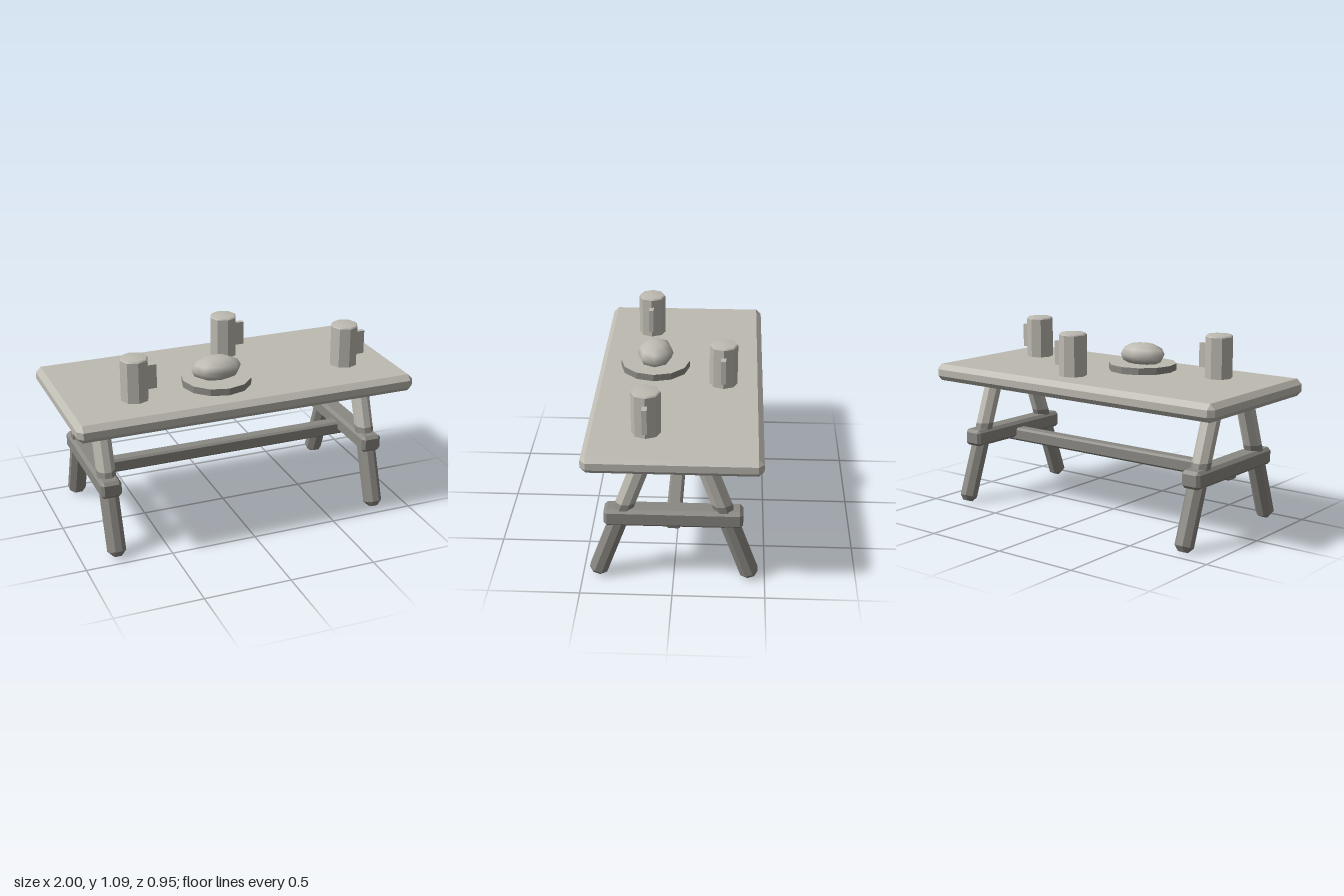
import * as THREE from 'three';
import { ConvexGeometry } from 'three/addons/geometries/ConvexGeometry.js';

const V = (x, y, z) => new THREE.Vector3(x, y, z);
const SIGNS = [-1, 1];

// Box with every edge chamfered by b
function chamferBox(w, h, d, b) {
  const pts = [];
  for (const i of SIGNS) for (const j of SIGNS) for (const k of SIGNS) {
    const x = w / 2, y = h / 2, z = d / 2;
    pts.push(V(i * x, j * (y - b), k * (z - b)));
    pts.push(V(i * (x - b), j * y, k * (z - b)));
    pts.push(V(i * (x - b), j * (y - b), k * z));
  }
  return new ConvexGeometry(pts);
}

export function createModel() {
  const light = new THREE.MeshStandardMaterial({ color: 0xbdbab1 });
  light.name = 'paleWood';
  const dark = new THREE.MeshStandardMaterial({ color: 0x8b8983 });
  dark.name = 'darkWood';

  const model = new THREE.Group();
  model.name = 'tavernTable';
  const add = (name, geo, mat, x = 0, y = 0, z = 0, parent = model) => {
    const m = new THREE.Mesh(geo, mat);
    m.name = name;
    m.position.set(x, y, z);
    parent.add(m);
    return m;
  };

  // Table top
  add('tableTop', chamferBox(2, 0.1, 0.95, 0.03), light, 0, 0.79, 0);

  // Splayed legs, two-toned: split by a level line at y = 0.47
  const tilt = THREE.MathUtils.degToRad(20);
  const splitY = 0.47, footZ = 0.425, legLength = 0.82, half = 0.05, bevel = 0.03;
  const inner = half - bevel;
  const section = [];
  const tip = [];
  for (const i of SIGNS) for (const j of SIGNS) {
    section.push([i * half, j * inner], [i * inner, j * half]);
    tip.push([i * inner, j * inner]);
  }
  // Point on a leg: a across x, b across the lean, t along the leg
  const legPoint = (a, b, t, sx, sz) => V(
    sx * 0.8 + a,
    0.007 + t * Math.cos(tilt) + b * Math.sin(tilt),
    sz * (footZ - t * Math.sin(tilt) + b * Math.cos(tilt)));
  for (const sx of SIGNS) for (const sz of SIGNS) {
    const cut = section.map(([a, b]) =>
      legPoint(a, b, (splitY - 0.007 - b * Math.sin(tilt)) / Math.cos(tilt), sx, sz));
    const end = (t, dir) => [
      ...tip.map(([a, b]) => legPoint(a, b, t, sx, sz)),
      ...section.map(([a, b]) => legPoint(a, b, t + dir * bevel, sx, sz)),
    ];
    const leg = new THREE.Group();
    leg.name = (sz > 0 ? 'front' : 'back') + (sx > 0 ? 'Left' : 'Right') + 'Leg';
    model.add(leg);
    add('lowerLeg', new ConvexGeometry([...end(0, 1), ...cut]), dark, 0, 0, 0, leg);
    add('upperLeg', new ConvexGeometry([...cut, ...end(legLength, -1)]), light, 0, 0, 0, leg);
  }

  // Cross bars and long stretcher
  for (const sx of SIGNS) {
    add(sx > 0 ? 'leftCrossBar' : 'rightCrossBar',
      chamferBox(0.12, 0.1, 0.75, 0.018), dark, sx * 0.8, 0.39, 0);
  }
  add('stretcher', chamferBox(1.68, 0.08, 0.08, 0.012), dark, 0, 0.36, 0);

  // Plate with a loaf
  const plateGeo = new THREE.CylinderGeometry(0.2, 0.2, 0.04, 12).toNonIndexed();
  plateGeo.computeVertexNormals();
  add('plate', plateGeo, [dark, light, dark], -0.1, 0.86, 0.15);
  const loaf = add('loaf', new THREE.SphereGeometry(1, 8, 6), light, -0.1, 0.93, 0.15);
  loaf.scale.set(0.15, 0.07, 0.105);

  // Eight-sided mugs with flat sides, a soft lid and a handle
  const wall = new THREE.CylinderGeometry(0.08, 0.08, 0.235, 8, 1, true).toNonIndexed();
  wall.computeVertexNormals();
  const lid = new THREE.LatheGeometry(
    [[0.08, 0], [0.072, 0.011], [0, 0.014]].map(([r, y]) => new THREE.Vector2(r, y)), 8);
  const handle = new THREE.BoxGeometry(0.06, 0.14, 0.028);
  [[-0.6, 0.2], [0.1, -0.25], [0.7, 0.15]].forEach(([x, z], i) => {
    const mug = new THREE.Group();
    mug.name = 'mug' + (i + 1);
    mug.position.set(x, 0.84, z);
    model.add(mug);
    add('mugWall', wall, light, 0, 0.1175, 0, mug);
    add('mugLid', lid, light, 0, 0.235, 0, mug);
    add('mugHandle', handle, light, 0.095, 0.12, 0, mug);
  });

  return model;
}
